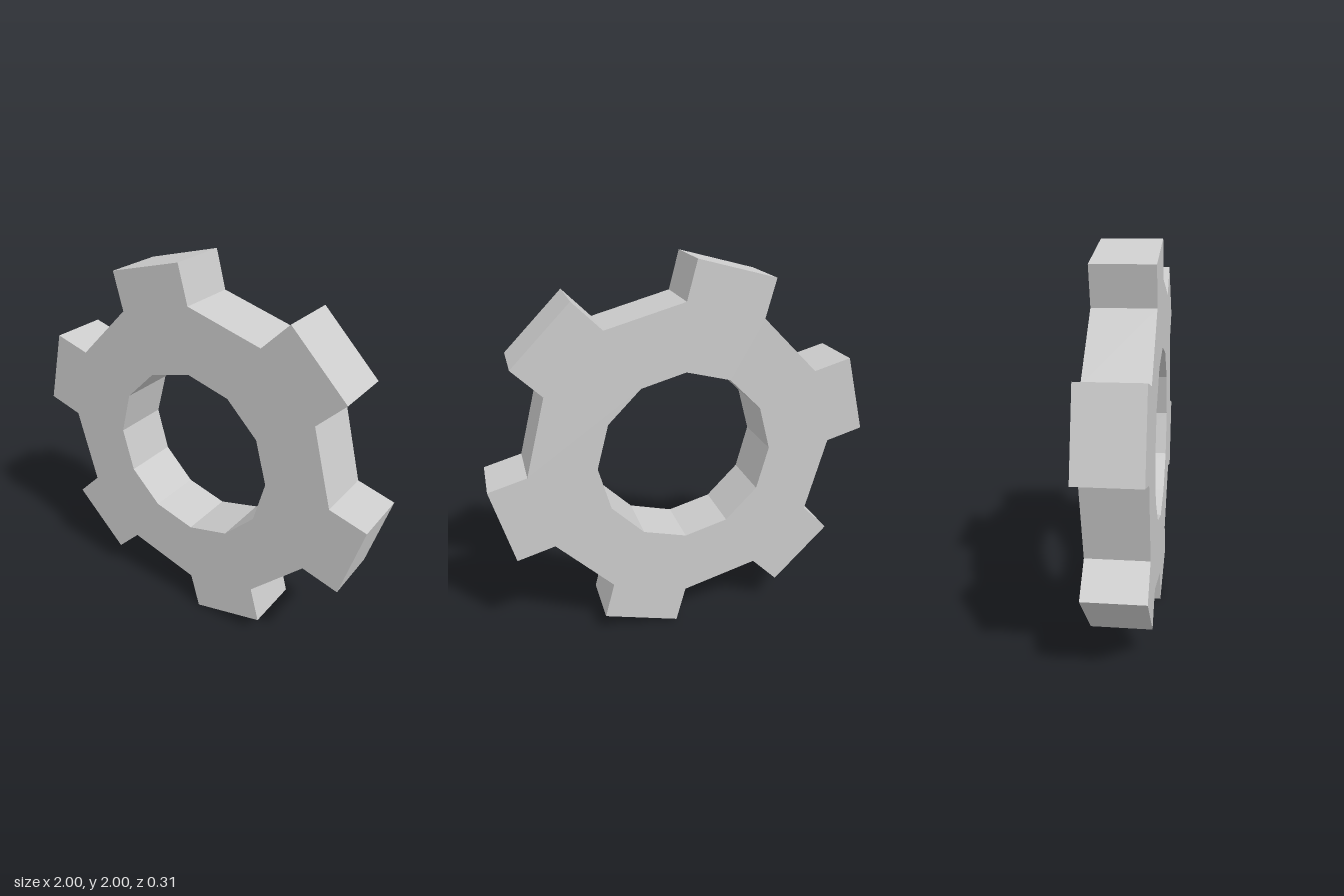
import * as THREE from 'three';

const SIDES = 12;         // facets of both the rim and the bore
const ROOT_RADIUS = 0.805;
const BORE_RADIUS = 0.46;
const TOOTH_HEIGHT = 0.202;
const THICKNESS = 0.305;

// Point on a circle at the i-th of the twelve corners
function corner(radius, i) {
  const a = (i / SIDES) * Math.PI * 2;
  return new THREE.Vector2(Math.cos(a) * radius, Math.sin(a) * radius);
}

export function createModel() {
  const group = new THREE.Group();
  group.name = 'gear';

  // Outline: every other rim facet is raised straight out into a tooth
  const outline = [];
  for (let i = 0; i < SIDES; i += 2) {
    const a = corner(ROOT_RADIUS, i + 1);
    const b = corner(ROOT_RADIUS, i + 2);
    const out = a.clone().add(b).normalize().multiplyScalar(TOOTH_HEIGHT);
    outline.push(a, a.clone().add(out), b.clone().add(out), b);
  }
  const shape = new THREE.Shape(outline);

  // Twelve-sided bore
  const bore = [];
  for (let i = 0; i < SIDES; i++) bore.push(corner(BORE_RADIUS, -i));
  shape.holes.push(new THREE.Path(bore));

  const geometry = new THREE.ExtrudeGeometry(shape, { depth: THICKNESS, bevelEnabled: false });
  geometry.translate(0, 1, -THICKNESS / 2);

  const gear = new THREE.Mesh(
    geometry,
    new THREE.MeshStandardMaterial({ color: 0xcccccc, flatShading: true })
  );
  gear.name = 'gearWheel';
  group.add(gear);
  return group;
}
